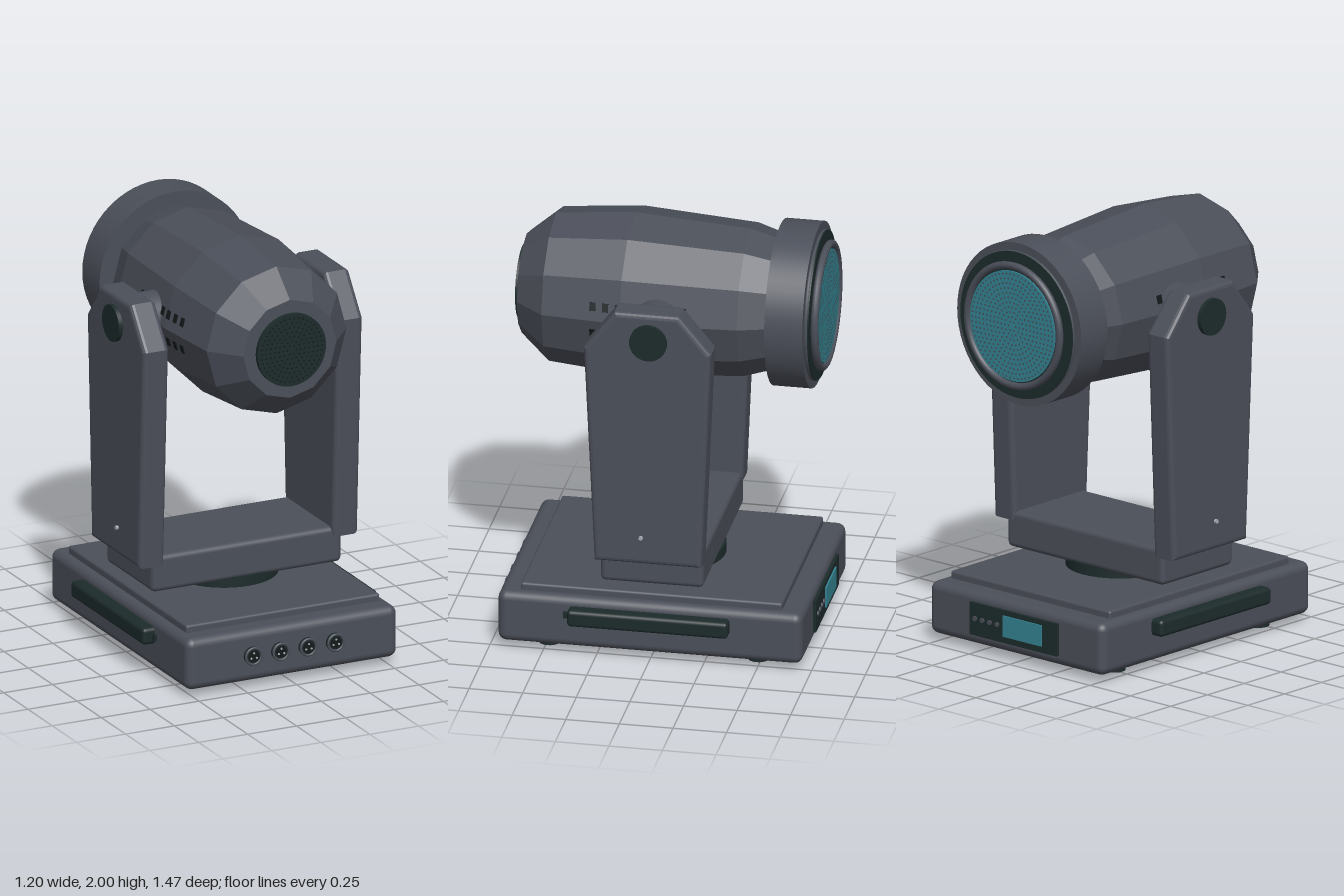
import * as THREE from 'three';
import { mergeGeometries } from 'three/addons/utils/BufferGeometryUtils.js';
import { RoundedBoxGeometry } from 'three/addons/geometries/RoundedBoxGeometry.js';

const material = (name, color, extra = {}) => {
  const m = new THREE.MeshStandardMaterial({ color, ...extra });
  m.name = name;
  return m;
};

export function createModel() {
  const root = new THREE.Group();
  root.name = 'movingHeadLight';

  const housing = material('housingGrey', 0x4b4f59);
  const facet = material('facetedHousingGrey', 0x4b4f59, { flatShading: true });
  const dark = material('darkTrim', 0x1d2b2b);
  const black = material('ventBlack', 0x121818);
  const teal = material('tealGlass', 0x358594);
  const silver = material('silver', 0xa9adb2);

  const add = (name, geometry, mat, x = 0, y = 0, z = 0, parent = root) => {
    const mesh = new THREE.Mesh(geometry, mat);
    mesh.name = name;
    mesh.position.set(x, y, z);
    parent.add(mesh);
    return mesh;
  };
  const rbox = (w, h, d, r) => new RoundedBoxGeometry(w, h, d, 3, r);
  const box = (w, h, d) => new THREE.BoxGeometry(w, h, d);
  // Cylinders along each axis
  const cylY = (r, h, n = 32) => new THREE.CylinderGeometry(r, r, h, n);
  const cylX = (r, h, n = 32) => cylY(r, h, n).rotateZ(Math.PI / 2);
  const cylZ = (r, h, n = 32) => cylY(r, h, n).rotateX(Math.PI / 2);
  // Concentric rings of dots, facing +z
  const dotRings = (count, step, size, sides) => {
    const dots = [];
    for (let i = 1; i <= count; i++) {
      for (let k = 0; k < i * 6; k++) {
        const a = (k / (i * 6)) * Math.PI * 2;
        dots.push(new THREE.CircleGeometry(size, sides)
          .translate(Math.cos(a) * i * step, Math.sin(a) * i * step, 0));
      }
    }
    return mergeGeometries(dots);
  };

  // Base
  add('base', rbox(1.08, 0.25, 1.42, 0.04), housing, 0, 0.16, 0);
  add('baseTopPlate', rbox(0.99, 0.06, 1.22, 0.012), housing, 0, 0.29, 0);
  for (const x of [-0.41, 0.41]) {
    for (const z of [-0.485, 0.49]) add('foot', cylY(0.05, 0.045, 24), dark, x, 0.0225, z);
  }
  for (const s of [-1, 1]) {
    add('sideHandle', rbox(0.08, 0.08, 0.75, 0.018), dark, s * 0.56, 0.203, 0);
    add('handleStop', box(0.02, 0.03, 0.02), dark, s * 0.543, 0.2, 0.39);
  }

  // Front sockets
  for (const x of [-0.21, -0.07, 0.07, 0.21]) {
    const socket = new THREE.Group();
    socket.name = 'socket';
    socket.position.set(x, 0.165, 0.71);
    root.add(socket);
    add('socketBody', cylZ(0.042, 0.04, 24), dark, 0, 0, 0, socket);
    add('socketRim', new THREE.TorusGeometry(0.039, 0.006, 8, 24), housing, 0, 0, 0.019, socket);
    add('socketFace', new THREE.CircleGeometry(0.028, 20), black, 0, 0, 0.021, socket);
    for (let k = 0; k < 3; k++) {
      const a = Math.PI / 2 + (k * Math.PI * 2) / 3;
      add('socketPin', cylZ(0.005, 0.006, 8), silver, 0.016 * Math.cos(a), 0.016 * Math.sin(a), 0.022, socket);
    }
  }

  // Rear control panel
  add('controlPanel', box(0.54, 0.155, 0.02), dark, 0, 0.163, -0.715);
  add('displayScreen', box(0.24, 0.1, 0.009), teal, -0.06, 0.167, -0.728);
  for (let i = 0; i < 4; i++) {
    add('panelButton', cylZ(0.012, 0.008, 12), housing, 0.235 - i * 0.046, 0.167, -0.728);
  }

  // Swivel and yoke
  add('swivel', cylY(0.25, 0.06, 40), dark, 0, 0.34, 0);
  add('yokeCrossbar', rbox(0.97, 0.175, 0.48, 0.025), housing, 0, 0.445, 0);
  // Arm outline in (z, y)
  const outline = [[-0.245, 0.49], [0.255, 0.49], [0.305, 1.555], [0.16, 1.745], [-0.14, 1.745], [-0.29, 1.565]];
  const armShape = new THREE.Shape(outline.map(([z, y]) => new THREE.Vector2(-z, y)).reverse());
  const bevel = 0.022;
  for (const s of [-1, 1]) {
    const arm = new THREE.ExtrudeGeometry(armShape, {
      depth: 0.13 - 2 * bevel, bevelThickness: bevel, bevelSize: bevel, bevelOffset: -bevel, bevelSegments: 3,
    }).translate(0, 0, bevel - 0.065).rotateY(Math.PI / 2);
    add('yokeArm', arm, housing, s * 0.495, 0, 0);
    add('pivotCap', cylX(0.087, 0.03), dark, s * 0.565, 1.61, 0);
    add('pivotCollar', cylX(0.12, 0.13), housing, s * 0.385, 1.61, 0);
    add('armScrew', cylX(0.01, 0.02, 10), silver, s * 0.562, 0.625, 0.035);
  }

  // Lamp head, axis along z
  const head = new THREE.Group();
  head.name = 'lampHead';
  head.position.y = 1.61;
  root.add(head);
  const profile = [[0, -0.55], [0.31, -0.55], [0.315, -0.5], [0.355, -0.37], [0.39, 0.17], [0.357, 0.54], [0.238, 0.678], [0, 0.678]];
  const shell = new THREE.LatheGeometry(profile.map(([r, z]) => new THREE.Vector2(r, z)), 12).rotateX(Math.PI / 2);
  add('headShell', shell, facet, 0, 0, 0, head);

  // Round grille on the front end
  add('grille', cylZ(0.175, 0.03, 40), dark, 0, 0, 0.683, head);
  add('grilleHoles', dotRings(7, 0.022, 0.005, 6), black, 0, 0, 0.699, head);

  // Vent slots along both sides, above and below the axle
  for (const s of [-1, 1]) {
    for (const v of [-1, 1]) {
      for (let i = 0; i < 8; i++) {
        const z = -0.12 + i * 0.06;
        const r = z < 0.17 ? 0.39 - (0.17 - z) * 0.065 : 0.39 - (z - 0.17) * 0.089;
        const vent = add('ventSlot', box(0.009, 0.04, 0.028), black, s * (r - 0.0174), v * 0.065, z, head);
        vent.rotation.z = s * v * Math.PI / 12;
      }
    }
  }

  // Lens rim, bezel and glass at the rear end
  add('lensHood', cylZ(0.385, 0.178, 56), housing, 0, 0, -0.594, head);
  add('lensBezel', cylZ(0.347, 0.03, 56), dark, 0, 0, -0.688, head);
  add('bezelRing', new THREE.TorusGeometry(0.338, 0.012, 8, 56), housing, 0, 0, -0.69, head);
  add('lensSeat', cylZ(0.285, 0.03, 48), dark, 0, 0, -0.708, head);
  add('lensRing', new THREE.TorusGeometry(0.285, 0.018, 10, 56), housing, 0, 0, -0.721, head);
  add('lensGlass', cylZ(0.262, 0.01, 48), teal, 0, 0, -0.725, head);
  add('lensDots', dotRings(11, 0.0225, 0.0055, 6).rotateY(Math.PI), housing, 0, 0, -0.7315, head);

  return root;
}
